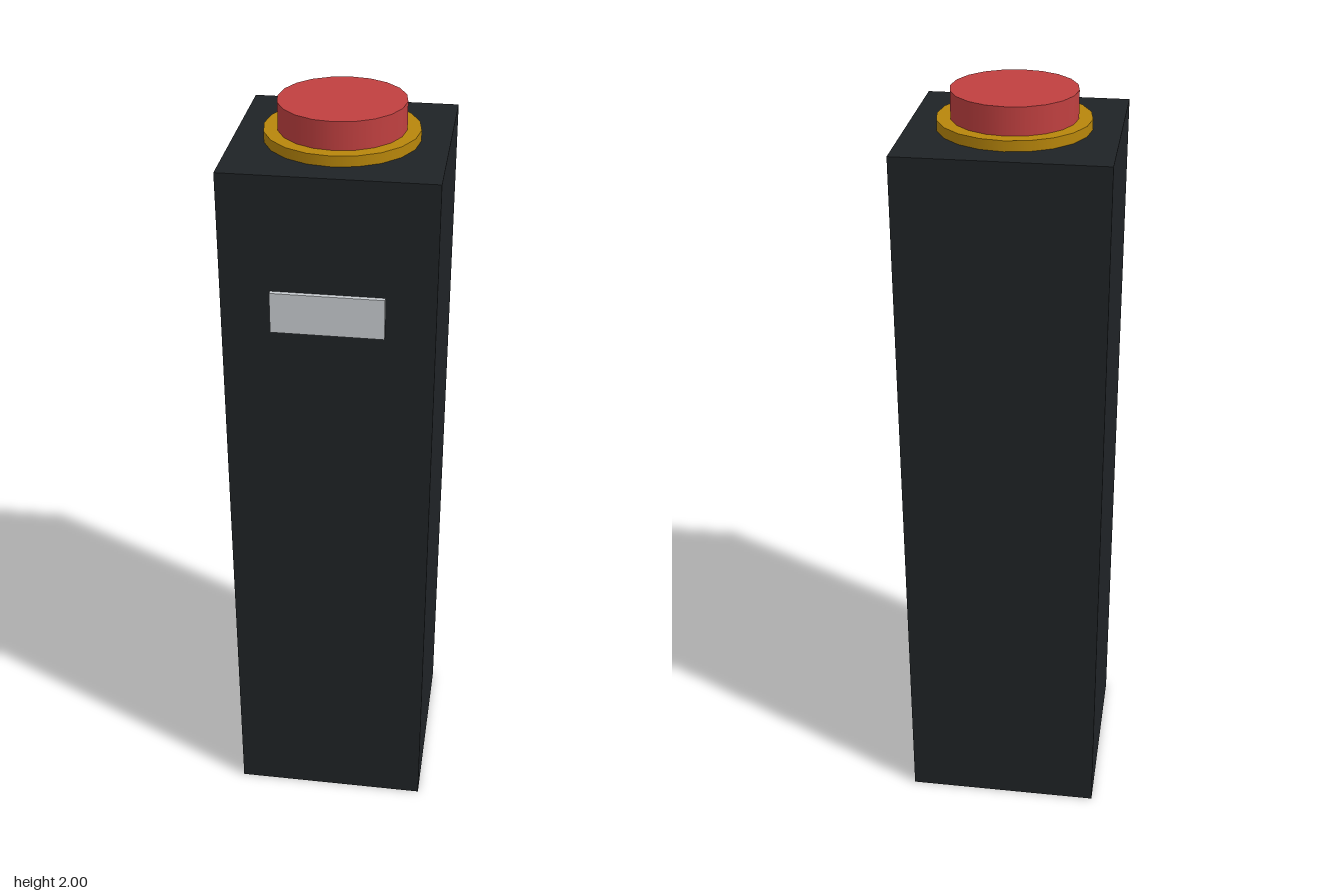
import * as THREE from 'three';

export function createModel() {
  const model = new THREE.Group();
  const add = (name, geometry, color, y, z) => {
    const mesh = new THREE.Mesh(geometry, new THREE.MeshStandardMaterial({ color }));
    mesh.name = name;
    mesh.position.set(0, y, z);
    model.add(mesh);
  };
  const axisZ = -0.006; // the post sits slightly back to make room for the plate

  // Square post
  add('post', new THREE.BoxGeometry(0.52, 1.905, 0.52), 0x1f2326, 0.9525, axisZ);

  // Collar and push button on top
  add('collar', new THREE.CylinderGeometry(0.19, 0.19, 0.026, 20), 0xb8860b, 1.918, axisZ);
  add('button', new THREE.CylinderGeometry(0.156, 0.156, 0.08, 20), 0xc04040, 1.96, axisZ);

  // Blank label plate on the front
  add('labelPlate', new THREE.BoxGeometry(0.276, 0.104, 0.02), 0xc8ccd0, 1.562, 0.256);

  return model;
}
